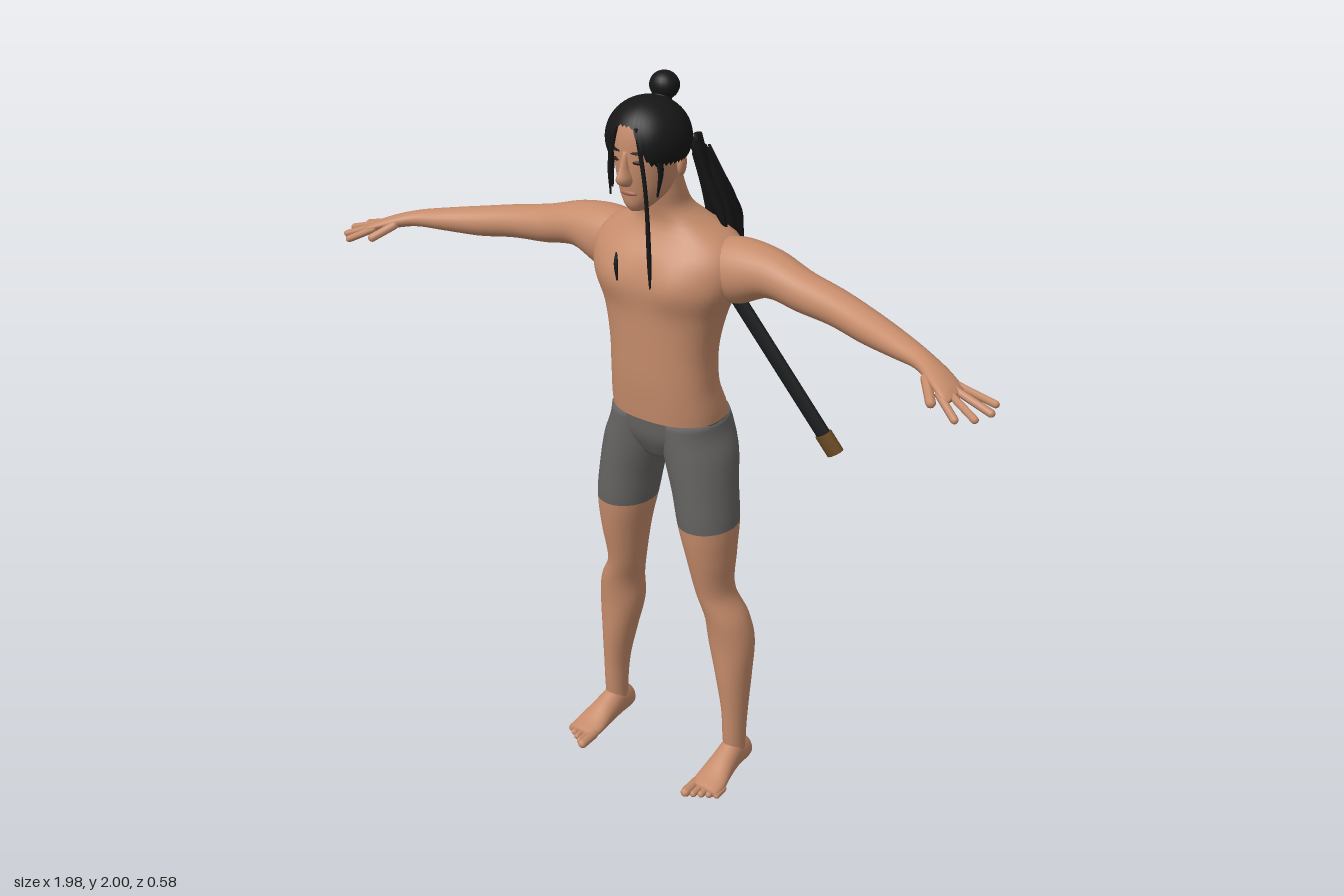
import * as THREE from 'three';

const mat = (name, color, side = THREE.FrontSide) => {
  const m = new THREE.MeshStandardMaterial({ color, side });
  m.name = name;
  return m;
};
const skin = mat('skin', 0xc68c6b);
const cloth = mat('shorts grey', 0x656462);
const hair = mat('hair black', 0x161616, THREE.DoubleSide);
const lacquer = mat('scabbard black', 0x1d1e1f);
const brass = mat('brass', 0x6b4c24);
const lip = mat('lip', 0xa86a52);
const eyeDark = mat('eye brown', 0x2a1a12);

// Smooth interpolation of profile rows [t, u, v, ru, rv]
function sample(rows, t) {
  let i = 0;
  while (i < rows.length - 2 && t > rows[i + 1][0]) i++;
  const a = rows[i], b = rows[i + 1], h = b[0] - a[0], s = (t - a[0]) / h;
  const p = rows[i - 1] || a, n = rows[i + 2] || b;
  return [1, 2, 3, 4].map((k) => {
    const m0 = (b[k] - p[k]) / (b[0] - p[0]), m1 = (n[k] - a[k]) / (n[0] - a[0]);
    const s2 = s * s, s3 = s2 * s;
    return (2 * s3 - 3 * s2 + 1) * a[k] + (s3 - 2 * s2 + s) * h * m0
      + (3 * s2 - 2 * s3) * b[k] + (s3 - s2) * h * m1;
  });
}

// Elliptical loft along an axis; rows rise in t, mirror flips x, ends are capped
function loft(rows, axis, { t0 = rows[0][0], t1 = rows.at(-1)[0], steps = 28, segs = 28, power = 1, mirror = 1, shape } = {}) {
  const pos = [], idx = [];
  const put = (t, u, v) => {
    const p = axis === 'y' ? new THREE.Vector3(u, t, v)
      : axis === 'x' ? new THREE.Vector3(t, u, v) : new THREE.Vector3(u, v, t);
    if (shape) shape(p);
    pos.push(p.x * mirror, p.y, p.z);
  };
  const flip = (axis === 'y') !== (mirror < 0);
  const tri = (a, b, c) => (flip ? idx.push(a, c, b) : idx.push(a, b, c));
  const bend = (x) => Math.sign(x) * Math.abs(x) ** power;
  for (let k = 0; k <= steps; k++) {
    const t = t0 + (t1 - t0) * k / steps, [u, v, ru, rv] = sample(rows, t);
    for (let j = 0; j < segs; j++) {
      const a = j / segs * Math.PI * 2;
      put(t, u + ru * bend(Math.cos(a)), v + rv * bend(Math.sin(a)));
    }
  }
  for (let k = 0; k < steps; k++) for (let j = 0; j < segs; j++) {
    const a = k * segs + j, b = k * segs + (j + 1) % segs;
    tri(a, b, b + segs);
    tri(a, b + segs, a + segs);
  }
  [[t0, 0, rows[0][0]], [t1, steps, rows.at(-1)[0]]].forEach(([t, k, end]) => {
    if (t !== end) return;
    const c = pos.length / 3, [u, v] = sample(rows, t);
    put(t, u, v);
    for (let j = 0; j < segs; j++) {
      const a = k * segs + j, b = k * segs + (j + 1) % segs;
      k ? tri(a, b, c) : tri(b, a, c);
    }
  });
  const g = new THREE.BufferGeometry();
  g.setAttribute('position', new THREE.Float32BufferAttribute(pos, 3));
  g.setIndex(idx);
  g.computeVertexNormals();
  return g;
}

// Body profiles
const torsoRows = [
  [0.98, 0, 0.045, 0.07, 0.08], [1.04, 0, 0.045, 0.14, 0.11], [1.1, 0, 0.048, 0.159, 0.116],
  [1.2, 0, 0.072, 0.15, 0.102], [1.3, 0, 0.074, 0.15, 0.104], [1.4, 0, 0.066, 0.17, 0.115],
  [1.48, 0, 0.06, 0.205, 0.125], [1.55, 0, 0.045, 0.21, 0.12], [1.595, 0, 0.035, 0.18, 0.1],
  [1.63, 0, 0.04, 0.115, 0.08], [1.665, 0, 0.06, 0.068, 0.064], [1.71, 0, 0.08, 0.06, 0.056], [1.78, 0, 0.1, 0.055, 0.05]];
const legRows = [
  [0.03, 0.212, 0.03, 0.03, 0.035], [0.1, 0.212, 0.036, 0.031, 0.038], [0.2, 0.21, 0.033, 0.035, 0.046],
  [0.3, 0.202, 0.028, 0.047, 0.058], [0.42, 0.19, 0.025, 0.065, 0.065], [0.5, 0.18, 0.035, 0.06, 0.065],
  [0.58, 0.152, 0.05, 0.049, 0.064], [0.7, 0.144, 0.06, 0.064, 0.08], [0.8, 0.135, 0.062, 0.08, 0.093],
  [0.9, 0.12, 0.058, 0.085, 0.1], [1, 0.098, 0.046, 0.092, 0.114], [1.06, 0.085, 0.043, 0.082, 0.117], [1.1, 0.079, 0.048, 0.079, 0.112]];
const armRows = [
  [0.1, 1.53, 0.035, 0.06, 0.07], [0.2, 1.522, 0.03, 0.085, 0.078], [0.3, 1.537, 0.032, 0.061, 0.065],
  [0.4, 1.519, 0.045, 0.052, 0.054], [0.5, 1.507, 0.058, 0.045, 0.05], [0.6, 1.493, 0.083, 0.041, 0.047],
  [0.7, 1.487, 0.118, 0.031, 0.041], [0.78, 1.482, 0.15, 0.022, 0.034], [0.84, 1.469, 0.182, 0.018, 0.043],
  [0.885, 1.455, 0.205, 0.013, 0.045], [0.9, 1.45, 0.21, 0.008, 0.038]];
const footRows = [
  [-0.032, 0.212, 0.03, 0.012, 0.015], [-0.015, 0.212, 0.034, 0.029, 0.036], [0.04, 0.212, 0.045, 0.033, 0.052],
  [0.1, 0.215, 0.034, 0.039, 0.042], [0.16, 0.219, 0.02, 0.047, 0.025], [0.2, 0.22, 0.015, 0.045, 0.015]];
const headRows = [
  [1.685, 0, 0.175, 0.02, 0.028], [1.7, 0, 0.162, 0.036, 0.052], [1.73, 0, 0.145, 0.057, 0.074],
  [1.78, 0, 0.138, 0.07, 0.088], [1.83, 0, 0.134, 0.078, 0.094], [1.88, 0, 0.13, 0.08, 0.094],
  [1.92, 0, 0.13, 0.063, 0.076], [1.945, 0, 0.13, 0.03, 0.035]];

// Chest muscles, spine groove and breast line
function torsoShape(p) {
  const bump = (x, c, w) => Math.exp(-(((x - c) / w) ** 2));
  if (p.z > 0.08) p.z += 0.012 * bump(Math.abs(p.x), 0.09, 0.06) * bump(p.y, 1.49, 0.06);
  if (p.z < 0.02) p.z += 0.016 * bump(p.x, 0, 0.025) * bump(p.y, 1.28, 0.25);
}

export function createModel() {
  const model = new THREE.Group();
  const add = (name, geo, material, parent = model) => {
    const m = new THREE.Mesh(geo, material);
    m.name = name;
    parent.add(m);
    return m;
  };
  const ball = (name, material, p, s, ry = 0) => {
    const m = add(name, new THREE.SphereGeometry(1, 20, 14), material);
    m.position.set(...p);
    m.scale.set(...s);
    m.rotation.y = ry;
    return m;
  };
  const UP = new THREE.Vector3(0, 1, 0);
  const digit = (name, a, b, r) => {
    const A = new THREE.Vector3(...a), B = new THREE.Vector3(...b), d = B.clone().sub(A);
    const m = add(name, new THREE.CapsuleGeometry(r, d.length(), 4, 8), skin);
    m.position.copy(A).add(B).multiplyScalar(0.5);
    m.quaternion.setFromUnitVectors(UP, d.normalize());
  };

  // Torso and head
  add('torso', loft(torsoRows, 'y', { t0: 1.1, power: 0.85, steps: 44, segs: 48, shape: torsoShape }), skin);
  add('shortsHips', loft(torsoRows, 'y', { t1: 1.1, power: 0.85, steps: 10, segs: 48, shape: torsoShape }), cloth);
  add('head', loft(headRows, 'y', { segs: 36 }), skin);
  const noseRows = [[1.755, 0, 0.222, 0.012, 0.015], [1.77, 0, 0.226, 0.019, 0.031], [1.8, 0, 0.226, 0.011, 0.02], [1.84, 0, 0.222, 0.007, 0.008]];
  add('nose', loft(noseRows, 'y', { steps: 10, segs: 12 }), skin);
  ball('mouth', lip, [0, 1.735, 0.216], [0.025, 0.007, 0.008]);

  for (const s of [1, -1]) {
    // Face
    ball('eye', eyeDark, [s * 0.031, 1.815, 0.218], [0.013, 0.005, 0.006], s * 0.35);
    ball('eyebrow', hair, [s * 0.033, 1.838, 0.218], [0.019, 0.0035, 0.007], s * 0.35);
    ball('ear', skin, [s * 0.078, 1.795, 0.105], [0.011, 0.032, 0.02], s * 0.3);

    // Arm and hand
    add('arm', loft(armRows, 'x', { mirror: s, steps: 44 }), skin);
    [[[0.87, 1.458, 0.17], [0.97, 1.428, 0.155]], [[0.885, 1.456, 0.192], [0.982, 1.427, 0.2]],
      [[0.885, 1.455, 0.215], [0.965, 1.425, 0.245]], [[0.87, 1.455, 0.235], [0.93, 1.425, 0.272]],
      [[0.82, 1.468, 0.205], [0.86, 1.438, 0.252]]].forEach(([a, b], i) =>
      digit(i < 4 ? 'finger' : 'thumb', [a[0] * s, a[1], a[2]], [b[0] * s, b[1], b[2]], i < 4 ? 0.0095 : 0.012));

    // Leg, short leg and foot
    add('leg', loft(legRows, 'y', { t1: 0.8, mirror: s, steps: 40 }), skin);
    add('shortsLeg', loft(legRows, 'y', { t0: 0.8, mirror: s, steps: 20 }), cloth);
    add('foot', loft(footRows, 'z', { mirror: s, shape: (p) => { p.y = Math.max(p.y, 0.002); } }), skin);
    for (let i = 0; i < 5; i++) {
      const x = s * (0.185 + i * 0.019), r = i ? 0.01 : 0.014;
      digit('toe', [x, r + 0.002, 0.185 - i * 0.006], [x, r, 0.236 - i * 0.011], r);
    }
  }

  // Hair cap with an opening for the face
  const cap = new THREE.SphereGeometry(1, 48, 20);
  const P = cap.attributes.position, UV = cap.attributes.uv;
  for (let i = 0; i < P.count; i++) {
    const a = (UV.getX(i) - 0.5) * Math.PI * 2;
    const rim = 1.1 + 1.0 * THREE.MathUtils.smoothstep(Math.abs(a), 0.15, 0.75);
    const th = (1 - UV.getY(i)) * rim, r = Math.sin(th);
    P.setXYZ(i, 0.105 * r * Math.sin(a), 1.855 + 0.098 * Math.cos(th), 0.132 + 0.108 * r * Math.cos(a));
  }
  cap.computeVertexNormals();
  add('hairCap', cap, hair);
  ball('topKnot', hair, [0, 1.965, 0.068], [0.038, 0.035, 0.036]);
  ball('knotBase', hair, [0, 1.938, 0.08], [0.026, 0.02, 0.026]);

  // Long locks falling behind both shoulders
  let seed = 7;
  const rnd = () => (seed = (seed * 16807) % 2147483647) / 2147483647 - 0.5;
  const lock = (name, rows, s) => add(name, loft(rows, 'y', { mirror: s, steps: 14, segs: 8 }), hair);
  for (const s of [1, -1]) {
    lock('hairBundle', [[1.42, 0.085, -0.08, 0.003, 0.003], [1.55, 0.1, -0.08, 0.026, 0.018],
      [1.65, 0.105, -0.045, 0.034, 0.034], [1.75, 0.092, 0, 0.025, 0.032], [1.84, 0.075, 0.05, 0.015, 0.02]], s);
    for (let i = 0; i < 9; i++) {
      const dx = rnd() * 0.07, dz = rnd() * 0.04, low = 1.5 + rnd() * 0.16;
      lock('hairLock', [[low, 0.1 + dx * 1.2, -0.085 + dz * 0.6, 0.002, 0.002],
        [low + 0.09, 0.105 + dx, -0.065 + dz, 0.012, 0.01], [1.7, 0.1 + dx * 0.7, -0.02 + dz, 0.013, 0.014],
        [1.81 + rnd() * 0.04, 0.08 + dx * 0.5, 0.02 + dz, 0.003, 0.004]], s);
    }
    lock('shoulderLock', [[1.6, 0.14, 0.0, 0.003, 0.004], [1.66, 0.122, 0.01, 0.014, 0.015],
      [1.75, 0.1, 0.03, 0.013, 0.016], [1.86, 0.092, 0.06, 0.008, 0.015]], s);
    lock('templeLock', [[1.73, 0.068, 0.19, 0.002, 0.003], [1.8, 0.074, 0.185, 0.006, 0.01], [1.88, 0.06, 0.2, 0.01, 0.012]], s);
  }
  // Loose strands in front of the face and chest
  lock('longStrand', [[1.5, 0.062, 0.216, 0.002, 0.002], [1.56, 0.062, 0.217, 0.006, 0.005],
    [1.75, 0.056, 0.222, 0.005, 0.005], [1.9, 0.03, 0.22, 0.006, 0.006]], 1);
  lock('shortStrand', [[1.72, 0.055, 0.215, 0.002, 0.002], [1.8, 0.052, 0.22, 0.005, 0.005], [1.9, 0.03, 0.22, 0.006, 0.006]], -1);
  lock('chestStrand', [[1.49, 0.052, 0.2, 0.002, 0.002], [1.53, 0.058, 0.196, 0.006, 0.005], [1.56, 0.061, 0.19, 0.002, 0.002]], -1);

  // Sheathed sword slung across the back
  const sword = new THREE.Group();
  sword.name = 'sword';
  const hilt = new THREE.Vector3(-0.268, 1.788, -0.115), tip = new THREE.Vector3(0.318, 0.91, -0.28);
  const len = hilt.distanceTo(tip);
  [['pommel', 0, 0.035, 0.023, brass], ['grip', 0.03, 0.22, 0.018, lacquer], ['guard', 0.215, 0.232, 0.032, brass],
    ['collar', 0.23, 0.27, 0.025, brass], ['scabbard', 0.26, len - 0.06, 0.023, lacquer],
    ['scabbardTip', len - 0.065, len, 0.028, brass]].forEach(([name, a, b, r, material]) => {
    const m = add(name, new THREE.CylinderGeometry(r, r, b - a, 12), material, sword);
    m.position.y = -(a + b) / 2;
    m.scale.z = 0.65;
  });
  sword.position.copy(hilt);
  sword.quaternion.setFromUnitVectors(UP, hilt.clone().sub(tip).normalize());
  model.add(sword);
  return model;
}
